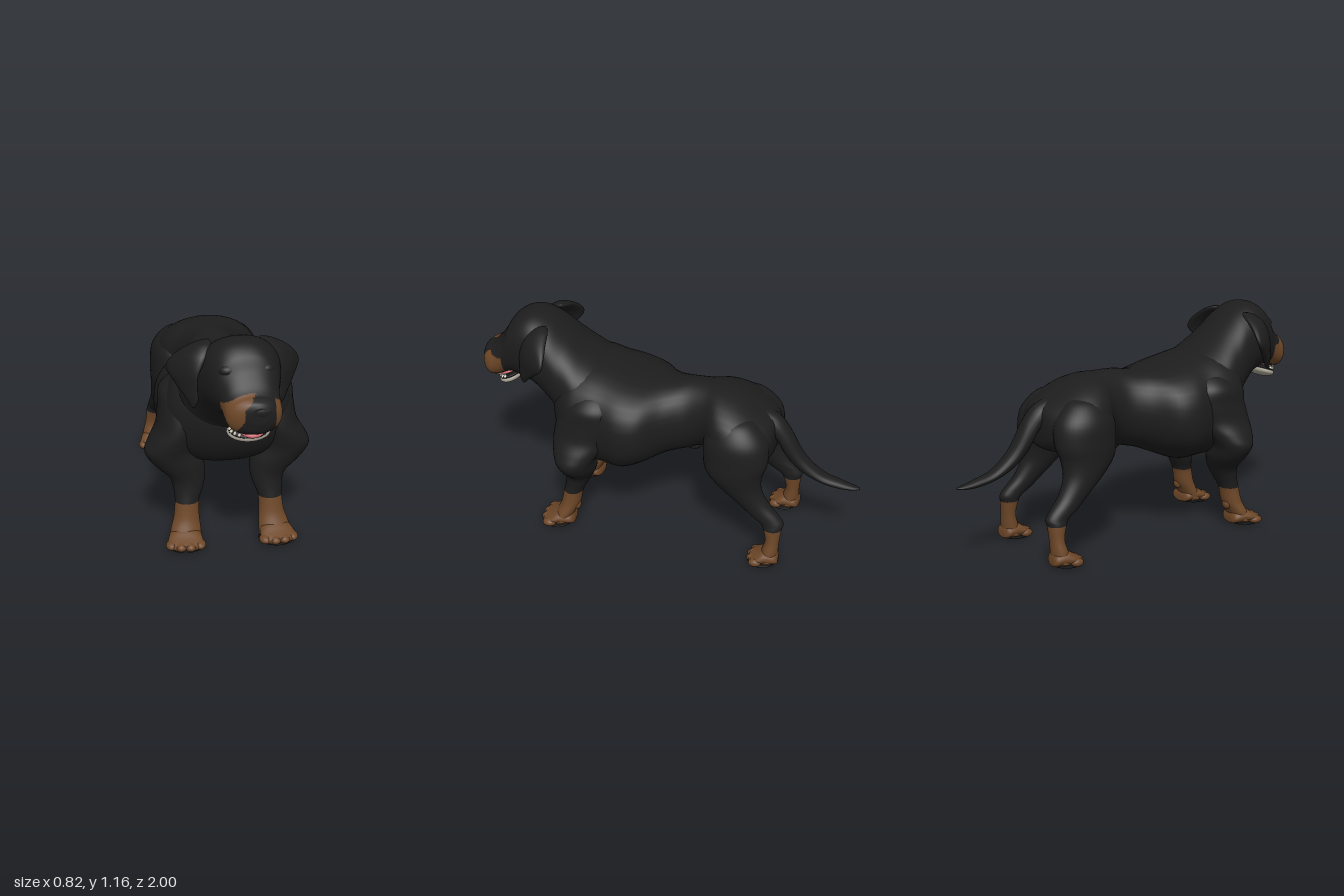
import * as THREE from 'three';

const paint = (name, color) => Object.assign(new THREE.MeshStandardMaterial({ color }), { name });

// Closed smooth loft. Rings are [cx, cy, cz, ru, rv, power].
// axis 'z': rings lie in x/y, listed by rising z. axis 'y': rings lie in x/z, listed by falling y.
function loft(name, rings, axis, materials, pick, seg = 36, steps = 5) {
  const cr = (a, b, c, d, t) => 0.5 * (2 * b + (c - a) * t + (2 * a - 5 * b + 4 * c - d) * t * t + (3 * b - a - 3 * c + d) * t ** 3);
  const full = rings.map(r => [...r.slice(0, 5), r[5] ?? 2]);
  const at = i => full[Math.min(full.length - 1, Math.max(0, i))];
  const rows = [];
  for (let i = 0; i < full.length - 1; i++)
    for (let k = 0; k < steps; k++)
      rows.push(at(i).map((v, n) => cr(at(i - 1)[n], v, at(i + 1)[n], at(i + 2)[n], k / steps)));
  rows.push(full[full.length - 1]);

  const pos = [], tris = [];
  for (const [cx, cy, cz, ru, rv, p] of rows)
    for (let j = 0; j < seg; j++) {
      const a = j / seg * Math.PI * 2, c = Math.cos(a), s = Math.sin(a);
      const u = ru * Math.sign(c) * Math.abs(c) ** (2 / p), v = rv * Math.sign(s) * Math.abs(s) ** (2 / p);
      pos.push(cx + u, cy + (axis === 'z' ? v : 0), cz + (axis === 'z' ? 0 : v));
    }
  const last = rows.length - 1, capA = pos.length / 3, capB = capA + 1;
  pos.push(...rows[0].slice(0, 3), ...rows[last].slice(0, 3));
  for (let j = 0; j < seg; j++) {
    const n = (j + 1) % seg;
    tris.push([capA, n, j], [capB, last * seg + j, last * seg + n]);
    for (let i = 0; i < last; i++) {
      const a = i * seg + j, b = i * seg + n;
      tris.push([a, b, a + seg], [b, b + seg, a + seg]);
    }
  }
  const geo = new THREE.BufferGeometry();
  geo.setAttribute('position', new THREE.Float32BufferAttribute(pos, 3));
  if (pick) {
    // Sort faces by colour into groups
    const bins = materials.map(() => []);
    for (const t of tris) {
      const m = [0, 1, 2].map(k => t.reduce((sum, v) => sum + pos[v * 3 + k], 0) / 3);
      bins[pick(...m)].push(...t);
    }
    let start = 0;
    bins.forEach((b, i) => { geo.addGroup(start, b.length, i); start += b.length; });
    geo.setIndex(bins.flat());
  } else geo.setIndex(tris.flat());
  geo.computeVertexNormals();
  const mesh = new THREE.Mesh(geo, materials);
  mesh.name = name;
  return mesh;
}

function blob(name, mat, [x, y, z], [rx, ry, rz]) {
  const mesh = new THREE.Mesh(new THREE.SphereGeometry(1, 24, 16), mat);
  mesh.name = name;
  mesh.position.set(x, y, z);
  mesh.scale.set(rx, ry, rz);
  return mesh;
}

// Ring helper from top and bottom heights
const ring = ([z, top, bottom, rx, cx = 0, p = 2]) => [cx, (top + bottom) / 2, z, rx, (top - bottom) / 2, p];

export function createModel() {
  const dog = new THREE.Group();
  dog.name = 'dog';
  const black = paint('black coat', 0x1d1d1d), tan = paint('tan markings', 0x6d4728);
  const pale = paint('pale lip', 0xa8a294), pink = paint('pink tongue', 0xc8646c);
  const ivory = paint('ivory teeth', 0xe6e2d2), dark = paint('dark pads', 0x141414);

  // Torso: rump, narrow waist, deep barrel, chest
  dog.add(loft('torso', [
    [-0.56, 0.70, 0.60, 0.06, 0.025], [-0.545, 0.745, 0.54, 0.155, 0.025], [-0.48, 0.79, 0.51, 0.24, 0.02, 2.1],
    [-0.38, 0.85, 0.50, 0.27, 0.018], [-0.28, 0.88, 0.51, 0.245, 0.018], [-0.2, 0.885, 0.53, 0.175, 0.014],
    [-0.1, 0.885, 0.485, 0.16, 0.012], [0, 0.87, 0.46, 0.215, 0.012, 2.1], [0.1, 0.87, 0.42, 0.31, 0.008, 2.3],
    [0.2, 0.89, 0.38, 0.338, 0.006, 2.4], [0.3, 0.915, 0.378, 0.32, 0.005, 2.4], [0.4, 0.935, 0.385, 0.318, 0, 2.4],
    [0.48, 0.93, 0.41, 0.305, 0, 2.4], [0.54, 0.9, 0.46, 0.26, 0, 2.2], [0.585, 0.85, 0.54, 0.18], [0.605, 0.76, 0.63, 0.07],
  ].map(ring), 'z', black));

  // Neck, skull and muzzle, with tan cheek patches
  const cheekPatch = (x, y, z) => {
    const inner = -0.015 + Math.max(0, y - 0.91) - Math.max(0, 0.86 - y) * 0.6;
    const top = 0.968 - 3 * (x - 0.03) ** 2;
    return z > 0.872 && y < top && (x < inner || x > 0.126) ? 1 : 0;
  };
  dog.add(loft('neckAndHead', [
    [0.28, 0.86, 0.62, 0.2], [0.36, 0.925, 0.6, 0.25, 0, 2.1], [0.45, 0.98, 0.57, 0.265, 0, 2.1], [0.54, 1.055, 0.575, 0.24, 0, 2.1],
    [0.62, 1.12, 0.67, 0.213, 0.005, 2.2], [0.7, 1.155, 0.75, 0.195, 0.01, 2.3], [0.77, 1.15, 0.778, 0.175, 0.015, 2.3],
    [0.83, 1.11, 0.797, 0.152, 0.02, 2.3], [0.87, 1.045, 0.79, 0.137, 0.026, 2.2], [0.91, 0.99, 0.775, 0.132, 0.031, 2.25],
    [0.94, 0.962, 0.773, 0.128, 0.034, 2.3], [0.965, 0.95, 0.78, 0.112, 0.037, 2.25], [0.985, 0.938, 0.8, 0.083, 0.042],
    [0.996, 0.92, 0.84, 0.04, 0.05],
  ].map(ring), 'z', [black, tan], cheekPatch, 80, 9));
  dog.add(blob('nose', black, [0.06, 0.895, 0.966], [0.064, 0.038, 0.034]));

  // Open mouth: lower jaw, tongue, small teeth
  const mouth = new THREE.Group();
  mouth.name = 'mouth';
  mouth.position.set(0.022, 0.755, 0.88);
  mouth.rotation.x = 0.34;
  mouth.add(blob('lowerJaw', pale, [0, 0, -0.01], [0.103, 0.032, 0.068]));
  mouth.add(blob('jawRim', dark, [0, 0.014, -0.012], [0.098, 0.018, 0.069]));
  mouth.add(blob('tongue', pink, [0.01, 0.029, 0.004], [0.064, 0.022, 0.066]));
  for (let i = 0; i < 11; i++) {
    const a = Math.PI * (0.02 + 0.96 * i / 10), fang = i === 2 || i === 8;
    const tooth = new THREE.Mesh(new THREE.ConeGeometry(0.01, fang ? 0.038 : 0.02, 8), ivory);
    tooth.name = 'tooth';
    tooth.position.set(Math.cos(a) * 0.088, fang ? 0.034 : 0.028, Math.sin(a) * 0.057 - 0.012);
    mouth.add(tooth);
  }
  dog.add(mouth);

  // Tail, tip first
  dog.add(loft('tail', [
    [-1, 0.4, 0.392, 0.006, 0.03], [-0.97, 0.407, 0.386, 0.02, 0.03], [-0.9, 0.425, 0.385, 0.033, 0.03],
    [-0.8, 0.458, 0.405, 0.042, 0.03], [-0.7, 0.55, 0.45, 0.05, 0.028], [-0.62, 0.69, 0.52, 0.056, 0.025],
    [-0.56, 0.755, 0.62, 0.062, 0.022], [-0.48, 0.785, 0.68, 0.065, 0.02], [-0.4, 0.8, 0.74, 0.04, 0.02],
  ].map(ring), 'z', black, null, 20));
  dog.add(blob('sheath', black, [0.01, 0.49, -0.115], [0.03, 0.032, 0.046]));

  const legColour = (x, y) => (y < 0.21 ? 1 : 0);

  // Paw with four toes and a dark sole
  function paw(name, x, z, w, len, s) {
    const g = new THREE.Group();
    g.name = name;
    g.add(loft('pawTop', [
      [-0.5, 0.04, 0.012, 0.4], [-0.42, 0.075, 0.006, 0.68], [-0.1, 0.09, 0.006, 0.8], [0.2, 0.06, 0.006, 0.88],
      [0.4, 0.042, 0.008, 0.6],
    ].map(([t, top, bottom, r]) => ring([t * len, top, bottom, r * w])), 'z', tan, null, 24));
    for (let i = 0; i < 4; i++) {
      const k = (i - 1.5) / 1.5, inner = 1 - Math.abs(k);
      g.add(blob('toe', tan, [k * w * 0.7, 0.026, len * (0.2 + 0.13 * inner)], [w * 0.29, 0.022, len * 0.2]));
    }
    g.add(blob('sole', dark, [0, 0.01, len * 0.02], [w * 0.92, 0.01, len * 0.46]));
    g.position.set(x, 0, z);
    g.rotation.y = s * 0.1;
    return g;
  }

  for (const s of [1, -1]) {
    const side = s > 0 ? 'left' : 'right';
    const flip = rings => rings.map(([x, ...rest]) => [x * s, ...rest]);
    // The hips sit slightly off centre above the hocks
    const sway = rings => rings.map(([x, y, ...rest]) => [x + 0.016 * Math.min(1, Math.max(0, (y - 0.3) * 5)), y, ...rest]);

    // Front leg from shoulder blade to wrist
    dog.add(loft(side + 'FrontLeg', flip([
      [0.2, 0.845, 0.36, 0.02, 0.02], [0.21, 0.825, 0.36, 0.065, 0.08], [0.222, 0.77, 0.365, 0.106, 0.135],
      [0.228, 0.69, 0.38, 0.108, 0.162], [0.246, 0.6, 0.41, 0.104, 0.15], [0.275, 0.53, 0.43, 0.115, 0.125],
      [0.284, 0.47, 0.44, 0.126, 0.102], [0.242, 0.4, 0.438, 0.124, 0.093], [0.203, 0.33, 0.447, 0.09, 0.074],
      [0.2, 0.27, 0.465, 0.073, 0.06], [0.209, 0.21, 0.485, 0.06, 0.051], [0.214, 0.13, 0.502, 0.064, 0.051],
      [0.222, 0.07, 0.53, 0.076, 0.05], [0.225, 0.02, 0.55, 0.08, 0.05],
    ]), 'y', [black, tan], legColour));
    dog.add(blob(side + 'DewPad', tan, [s * 0.22, 0.115, 0.467], [0.03, 0.028, 0.02]));
    dog.add(paw(side + 'FrontPaw', s * 0.229, 0.57, 0.1, 0.185, s));

    // Hind leg from hip over thigh and hock
    dog.add(loft(side + 'HindLeg', sway(flip([
      [0.13, 0.8, -0.375, 0.02, 0.03], [0.145, 0.775, -0.375, 0.08, 0.095], [0.165, 0.69, -0.383, 0.12, 0.16],
      [0.184, 0.58, -0.387, 0.112, 0.166], [0.196, 0.5, -0.385, 0.098, 0.145], [0.207, 0.42, -0.42, 0.076, 0.11],
      [0.217, 0.34, -0.487, 0.056, 0.085], [0.226, 0.275, -0.555, 0.047, 0.078], [0.23, 0.24, -0.592, 0.045, 0.064],
      [0.236, 0.21, -0.6, 0.046, 0.05], [0.243, 0.14, -0.605, 0.045, 0.037], [0.25, 0.08, -0.597, 0.054, 0.042],
      [0.253, 0.02, -0.585, 0.06, 0.05],
    ])), 'y', [black, tan], legColour));
    dog.add(paw(side + 'HindPaw', s * 0.255, -0.56, 0.08, 0.165, s));

    // Drooping ear, folded out from the skull and set diagonally
    const ear = loft(side + 'Ear', flip([
      [-0.04, 1.12, -0.115, 0.01, 0.015], [-0.035, 1.105, -0.095, 0.045, 0.035], [-0.02, 1.07, -0.055, 0.078, 0.038],
      [0, 1.025, -0.022, 0.098, 0.03], [0.008, 0.975, -0.002, 0.101, 0.022], [-0.022, 0.92, 0, 0.072, 0.019],
      [-0.055, 0.87, 0, 0.042, 0.016], [-0.065, 0.835, 0, 0.016, 0.01], [-0.066, 0.825, 0, 0.004, 0.004],
    ]), 'y', black, null, 28);
    ear.position.set(s * 0.247 - 0.004, 0, 0.68);
    ear.rotation.y = s * 0.92;
    dog.add(ear);

    // Soft brow and deep-set eye
    dog.add(blob(side + 'Brow', black, [0.018 + s * 0.085, 1.04, 0.825], [0.045, 0.03, 0.035]));
    dog.add(blob(side + 'Eye', dark, [0.018 + s * 0.1, 1.0, 0.845], [0.016, 0.01, 0.014]));
  }
  return dog;
}
